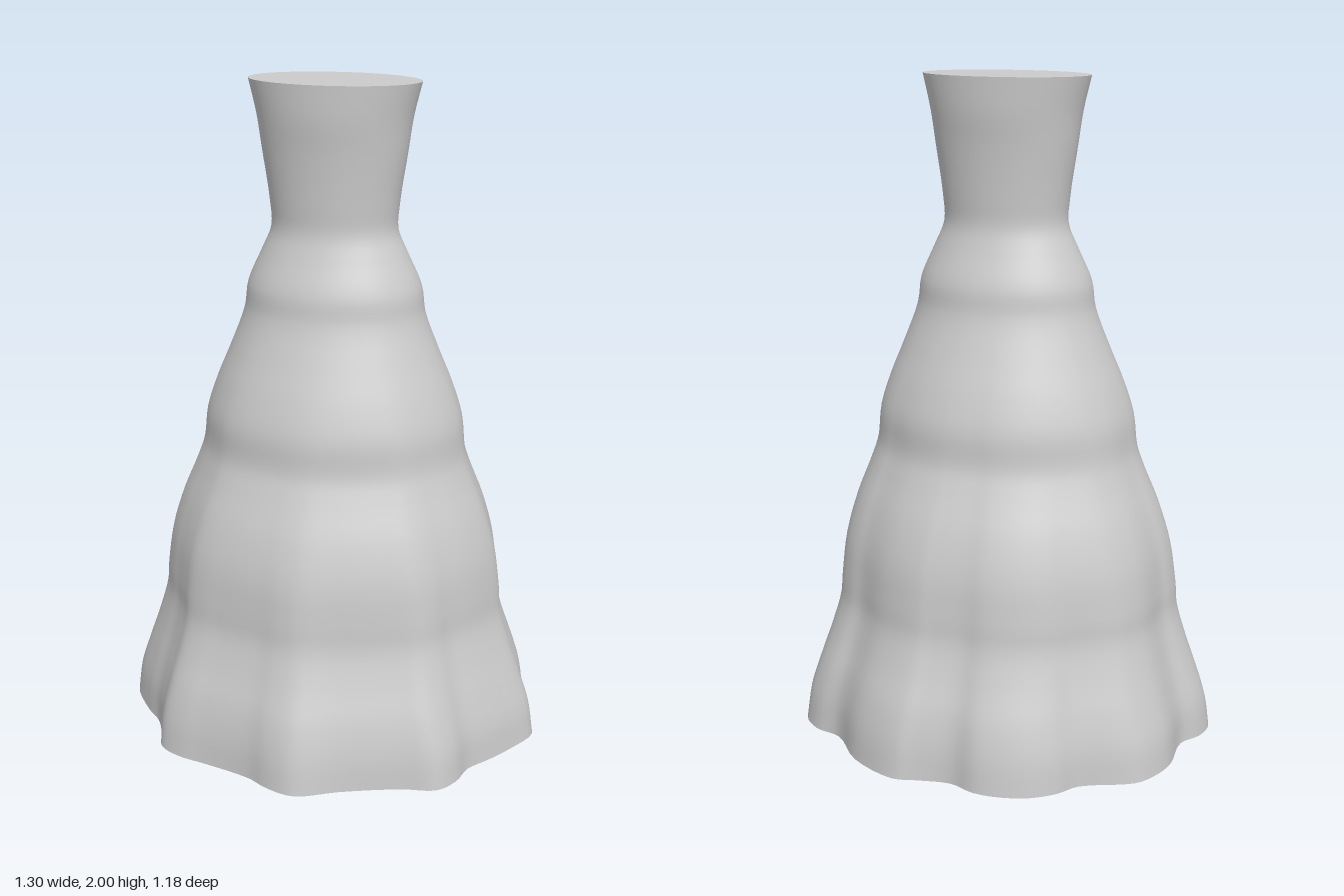
import * as THREE from 'three';

// Hem outline (x, z), running from +x towards +z
const HEM = [
  [0.645, -0.005], [0.6, 0.115], [0.555, 0.195], [0.51, 0.265], [0.495, 0.345], [0.455, 0.41],
  [0.355, 0.44], [0.19, 0.515], [0.073, 0.582], [-0.015, 0.57], [-0.095, 0.535], [-0.25, 0.507],
  [-0.335, 0.495], [-0.41, 0.46], [-0.445, 0.39], [-0.49, 0.32], [-0.55, 0.267], [-0.645, 0.145],
  [-0.645, 0.062], [-0.61, -0.01], [-0.627, -0.15], [-0.61, -0.235], [-0.575, -0.3], [-0.435, -0.39],
  [-0.395, -0.457], [-0.335, -0.513], [-0.257, -0.547], [-0.177, -0.558], [-0.095, -0.54], [0, -0.565],
  [0.073, -0.588], [0.232, -0.537], [0.35, -0.437], [0.44, -0.42], [0.51, -0.367], [0.56, -0.225],
  [0.565, -0.156], [0.6, -0.08],
];

// Tiered profile: height, half width, half depth
const PROFILE = [
  [0, 0.648, 0.587], [0.1, 0.634, 0.575], [0.2, 0.602, 0.55], [0.3, 0.568, 0.51], [0.4, 0.54, 0.478],
  [0.48, 0.533, 0.47], [0.6, 0.515, 0.455], [0.72, 0.479, 0.419], [0.83, 0.434, 0.37], [0.9, 0.411, 0.343],
  [1, 0.398, 0.335], [1.1, 0.365, 0.305], [1.2, 0.323, 0.265], [1.32, 0.278, 0.22], [1.4, 0.266, 0.208],
  [1.5, 0.222, 0.168], [1.57, 0.193, 0.146], [1.65, 0.197, 0.147], [1.8, 0.22, 0.156], [1.9, 0.235, 0.167],
  [2, 0.26, 0.171],
];

// Strength of the folds, fading with height
const foldAt = (y) => Math.pow(Math.max(0, 1 - y / 1.6), 2.4);

function buildRings() {
  const A = 0.62, B = 0.557;
  const hem = new THREE.CatmullRomCurve3(HEM.map(([x, z]) => new THREE.Vector3(x, 0, z)), true);
  const folds = [];
  const n = HEM.length * 4;
  for (let i = 0; i < n; i++) {
    const p = hem.getPoint(i / n);
    folds.push({ angle: Math.atan2(p.z / B, p.x / A), k: Math.hypot(p.x / A, p.z / B) });
  }
  const profile = new THREE.CatmullRomCurve3(PROFILE.map((p) => new THREE.Vector3(p[1], p[0], p[2])));
  return profile.getPoints((PROFILE.length - 1) * 4).map(({ x: hx, y, z: hz }) => {
    const w = foldAt(y);
    const shift = Math.min(1, y / 0.45);
    const a = hx / (1 + 0.04 * w), b = hz / (1 + 0.05 * w);
    return folds.map(({ angle, k }) => {
      const r = 1 + (k - 1) * w;
      return new THREE.Vector3(a * r * Math.cos(angle) - 0.012 * shift, y, b * r * Math.sin(angle) - 0.005 * shift);
    });
  });
}

function makeGeometry(points, index) {
  const g = new THREE.BufferGeometry().setFromPoints(points);
  g.setIndex(index);
  g.computeVertexNormals();
  return g;
}

// Loft through the rings, closed around
function loft(rings) {
  const n = rings[0].length, index = [];
  for (let j = 0; j < rings.length - 1; j++) {
    for (let i = 0; i < n; i++) {
      const a = j * n + i, b = j * n + (i + 1) % n;
      index.push(a, a + n, b, b, a + n, b + n);
    }
  }
  return makeGeometry(rings.flat(), index);
}

// Flat fan closing one end
function cap(ring, up) {
  const n = ring.length, index = [];
  for (let i = 0; i < n; i++) {
    const next = (i + 1) % n;
    if (up) index.push(n, next, i);
    else index.push(n, i, next);
  }
  return makeGeometry([...ring, new THREE.Vector3(0, ring[0].y, 0)], index);
}

export function createModel() {
  const group = new THREE.Group();
  group.name = 'tieredSkirt';
  const material = new THREE.MeshStandardMaterial({ color: 0xcccccc });
  const add = (name, geometry) => {
    const mesh = new THREE.Mesh(geometry, material);
    mesh.name = name;
    group.add(mesh);
  };
  const rings = buildRings();
  add('skirtSurface', loft(rings));
  add('waistCap', cap(rings[rings.length - 1], true));
  add('hemCap', cap(rings[0], false));
  return group;
}
